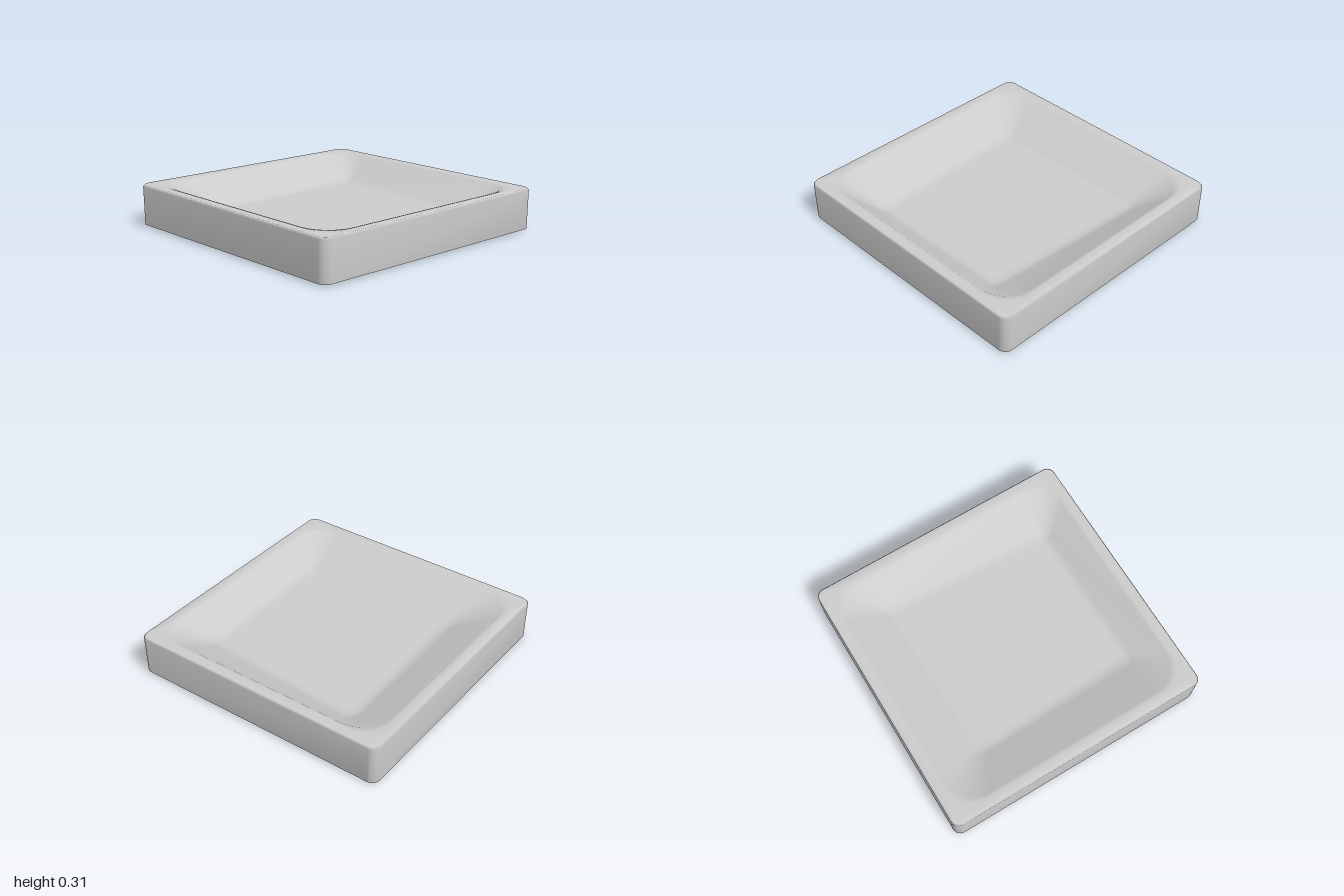
import * as THREE from 'three';

const STEPS = 6; // segments per rounded corner

// Rounded four-cornered loop; corners run +x+z, -x+z, -x-z, +x-z
function ring(corners, r, y) {
  const pts = [];
  corners.forEach(([cx, cz], k) => {
    const ox = cx - Math.sign(cx) * r, oz = cz - Math.sign(cz) * r;
    for (let i = 0; i <= STEPS; i++) {
      const a = (k + i / STEPS) * Math.PI / 2;
      pts.push([ox + r * Math.cos(a), y, oz + r * Math.sin(a)]);
    }
  });
  return pts;
}

const square = (h) => [[h, h], [-h, h], [-h, -h], [h, -h]];
const inset = (corners, d) => corners.map(([x, z]) => [x - Math.sign(x) * d, z - Math.sign(z) * d]);

// Skin a stack of loops and close both ends with a fan
function skin(rings) {
  const n = rings[0].length, pos = rings.flat(2), index = [];
  for (let i = 0; i < rings.length - 1; i++) {
    for (let j = 0; j < n; j++) {
      const k = (j + 1) % n;
      const a = i * n + j, b = i * n + k, c = a + n, d = b + n;
      index.push(a, c, b, b, c, d);
    }
  }
  const last = (rings.length - 1) * n, first = rings.length * n;
  pos.push(0, rings[0][0][1], 0, 0, rings[rings.length - 1][0][1], 0);
  for (let j = 0; j < n; j++) {
    const k = (j + 1) % n;
    index.push(first, j, k, first + 1, last + k, last + j);
  }
  const geo = new THREE.BufferGeometry();
  geo.setAttribute('position', new THREE.Float32BufferAttribute(pos, 3));
  geo.setIndex(index);
  geo.computeVertexNormals();
  return geo;
}

export function createModel() {
  const group = new THREE.Group();
  group.name = 'tray';

  // The hollow's floor is slightly uneven, as if shaped by hand
  const floor = [[0.7, 0.58], [-0.58, 0.6], [-0.6, -0.68], [0.7, -0.6]];

  const body = new THREE.Mesh(skin([
    // underside
    ring(square(0.93), 0.04, 0),
    ring(square(0.965), 0.05, 0),
    // outer wall
    ring(square(0.997), 0.06, 0.012),
    ring(square(1), 0.06, 0.295),
    // rim
    ring(square(0.99), 0.06, 0.31),
    ring(square(0.93), 0.2, 0.31),
    // sloping inner wall
    ring(square(0.905), 0.23, 0.303),
    ring(inset(floor, -0.03), 0.08, 0.158),
    // floor
    ring(inset(floor, 0.02), 0.04, 0.14),
    ring(inset(floor, 0.07), 0.03, 0.14),
  ]), new THREE.MeshStandardMaterial({ color: 0xcccccc }));
  body.name = 'trayBody';
  group.add(body);
  return group;
}
